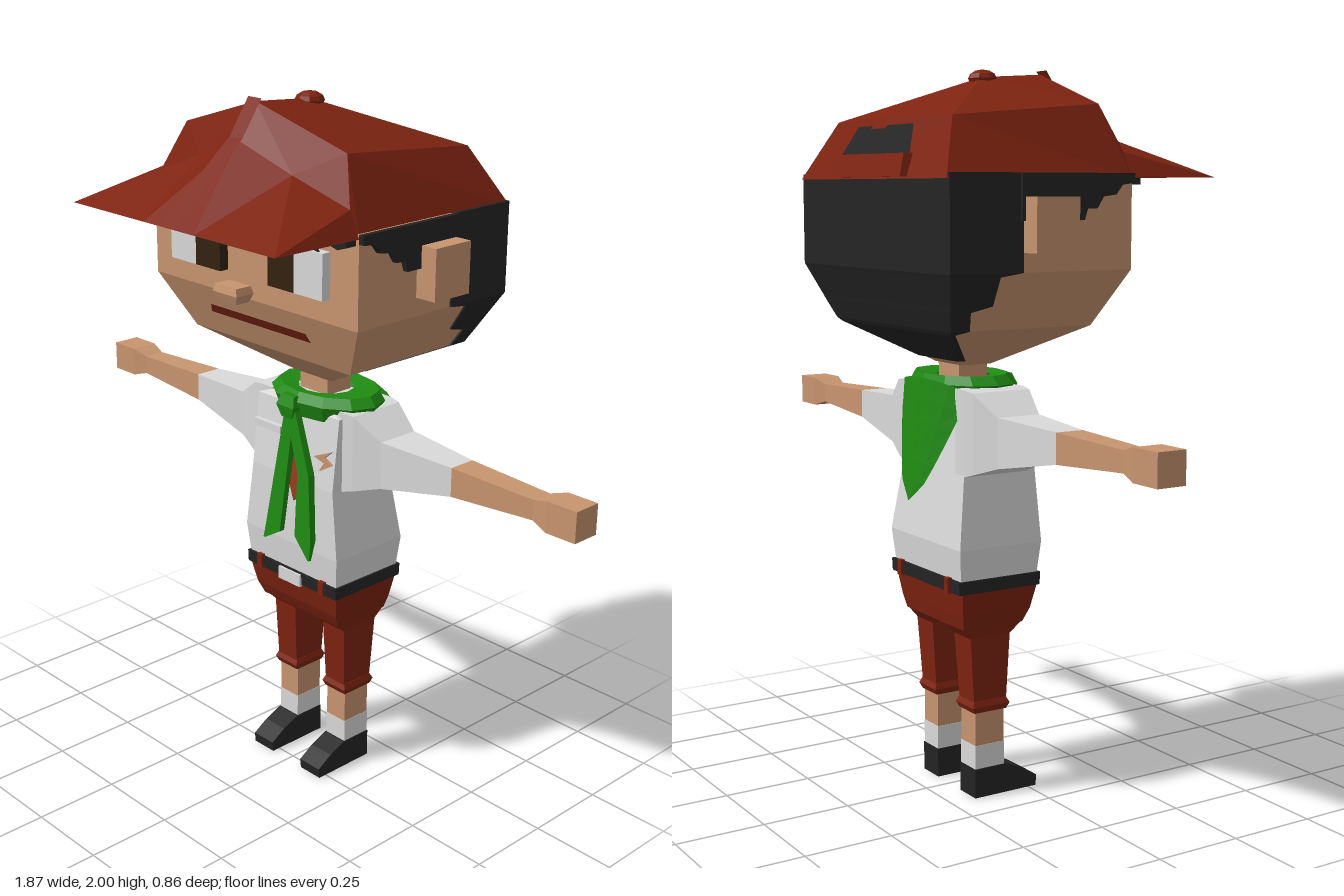
import * as THREE from 'three';

const mat = (name, color, extra = {}) => new THREE.MeshStandardMaterial({ name, color, flatShading: true, ...extra });

// rectangular ring at height y: left, right, back, front
const R = (y, x0, x1, zb, zf) => [[x0, y, zf], [x1, y, zf], [x1, y, zb], [x0, y, zb]];
// ring symmetric in x
const S = (y, w, zb, zf) => R(y, -w, w, zb, zf);
// ring of an ellipse
const E = (y, cx, cz, rx, rz, n = 12) => Array.from({ length: n }, (_, i) => {
  const a = (i / n) * Math.PI * 2;
  return [cx + Math.cos(a) * rx, y, cz - Math.sin(a) * rz];
});

// flat polygons, each a list of corner points, counter-clockwise from outside
function facets(polys) {
  const p = [];
  for (const f of polys) for (let i = 1; i < f.length - 1; i++) p.push(...f[0], ...f[i], ...f[i + 1]);
  const g = new THREE.BufferGeometry();
  g.setAttribute('position', new THREE.Float32BufferAttribute(p, 3));
  g.computeVertexNormals();
  return g;
}

// skin through rings listed from bottom to top
function loft(rings, caps = true) {
  const f = [];
  for (let k = 0; k < rings.length - 1; k++) {
    const a = rings[k], b = rings[k + 1], n = a.length;
    for (let i = 0; i < n; i++) f.push([a[i], a[(i + 1) % n], b[(i + 1) % n], b[i]]);
  }
  if (caps) f.push([...rings[0]].reverse(), rings[rings.length - 1]);
  return facets(f);
}

// extruded outline
function plate(pts, depth) {
  const s = new THREE.Shape(pts.map(([x, y]) => new THREE.Vector2(x, y)));
  return new THREE.ExtrudeGeometry(s, { depth, bevelEnabled: false });
}

const box = (x0, x1, y0, y1, z0, z1) => new THREE.BoxGeometry(x1 - x0, y1 - y0, z1 - z0)
  .translate((x0 + x1) / 2, (y0 + y1) / 2, (z0 + z1) / 2);

export function createModel() {
  const root = new THREE.Group();
  const skin = mat('skin', 0xc8956f), white = mat('white', 0xdadada), black = mat('black', 0x242424);
  const red = mat('red', 0x7e2310, { side: THREE.DoubleSide });
  const green = mat('green', 0x1f8a12, { side: THREE.DoubleSide });
  const brown = mat('brown', 0x32230f), lip = mat('lip', 0x6e200f), tie = mat('tieRed', 0xa03a22);
  const add = (name, geo, m, parent = root) => {
    const mesh = new THREE.Mesh(geo, m);
    mesh.name = name;
    parent.add(mesh);
    return mesh;
  };

  // head and neck
  add('head', loft([S(1.205, 0.07, -0.17, -0.08), S(1.32, 0.31, -0.345, 0.085), S(1.47, 0.4, -0.4, 0.15),
    S(1.72, 0.4, -0.4, 0.15)]), skin);
  add('neck', box(-0.055, 0.055, 1.1, 1.24, -0.17, -0.08), skin);
  add('nose', loft([S(1.48, 0.035, 0.19, 0.235), S(1.505, 0.048, 0.185, 0.245), S(1.525, 0.042, 0.19, 0.24)]), skin);
  add('mouth', facets([[[-0.2, 1.39, 0.121], [0.2, 1.39, 0.121], [0.19, 1.415, 0.132], [-0.19, 1.415, 0.132]]]), lip);

  // back hair with a stepped front edge
  add('backHair', loft([S(1.22, 0.105, -0.205, -0.18), S(1.31, 0.295, -0.345, -0.325), S(1.32, 0.316, -0.351, -0.295),
    S(1.37, 0.346, -0.37, -0.31), S(1.385, 0.355, -0.375, -0.25), S(1.46, 0.4, -0.402, -0.255),
    S(1.47, 0.406, -0.406, -0.19), S(1.72, 0.406, -0.406, -0.19)]), black);
  const temple = [[-0.2, 1.72], [-0.2, 1.6], [-0.04, 1.6], [-0.01, 1.6], [0, 1.63], [0.03, 1.63], [0.05, 1.66],
    [0.09, 1.665], [0.11, 1.69], [0.15, 1.695], [0.15, 1.72]];
  for (const x of [0.415, -0.4]) {
    add('templeHair', plate(temple, 0.015).rotateY(-Math.PI / 2).translate(x, 0, 0), black);
  }
  add('fringe', plate([[-0.39, 1.72], [-0.39, 1.69], [-0.34, 1.702], [-0.31, 1.675], [-0.27, 1.702], [-0.1, 1.702],
    [-0.02, 1.685], [0.01, 1.702], [0.1, 1.69], [0.14, 1.702], [0.28, 1.7], [0.36, 1.68], [0.39, 1.69], [0.39, 1.72]], 0.035)
    .translate(0, 0, 0.15), black);

  for (const s of [-1, 1]) {
    const span = (a, b) => (s > 0 ? [a, b] : [-b, -a]);
    // ears, eyes, brows
    add('ear', box(...span(0.39, 0.465), 1.52, 1.66, -0.19, -0.06), skin);
    add('eyeWhite', box(...span(0.195, 0.3), 1.535, 1.658, 0.14, 0.178), white);
    add('iris', box(...span(0.095, 0.195), 1.535, 1.658, 0.14, 0.178), brown);
    const brow = [[0.11, 1.665], [0.2, 1.675], [0.29, 1.662], [0.25, 1.69], [0.18, 1.695], [0.11, 1.685]];
    add('eyebrow', plate(brow.map(([x, y]) => [x * s, y]), 0.008).translate(0, 0, 0.176), black);

    // arm built upright, then laid out sideways
    const arm = new THREE.Group();
    arm.name = s > 0 ? 'leftArm' : 'rightArm';
    arm.position.z = -0.127;
    if (s < 0) arm.rotation.y = Math.PI;
    const A = (x, y0, y1, d) => R(x, -y1, -y0, -d, d);
    const lay = (rings) => loft(rings).rotateZ(Math.PI / 2).scale(-1, -1, 1);
    add('sleeve', lay([A(0.12, 0.91, 1.15, 0.095), A(0.165, 0.915, 1.15, 0.095), A(0.2, 0.925, 1.145, 0.09),
      A(0.285, 0.952, 1.088, 0.065), A(0.52, 0.995, 1.077, 0.041)]), white, arm);
    add('forearm', lay([A(0.52, 0.995, 1.077, 0.041), A(0.79, 1.012, 1.068, 0.032), A(0.84, 0.997, 1.083, 0.042),
      A(0.933, 0.997, 1.083, 0.042)]), skin, arm);
    root.add(arm);

    // leg
    const leg = new THREE.Group();
    leg.name = s > 0 ? 'leftLeg' : 'rightLeg';
    const L = (y, a, b, zb, zf) => R(y, ...span(a, b), zb, zf);
    add('shortsLeg', loft([L(0.255, 0.065, 0.142, -0.177, -0.075), L(0.46, 0.06, 0.147, -0.192, -0.065),
      L(0.495, 0.032, 0.156, -0.22, -0.03)]), red, leg);
    add('cuff', loft([L(0.245, 0.063, 0.144, -0.178, -0.075), L(0.262, 0.057, 0.15, -0.186, -0.067),
      L(0.278, 0.063, 0.144, -0.178, -0.075)]), red, leg);
    add('shin', box(...span(0.065, 0.14), 0.15, 0.25, -0.173, -0.08), skin, leg);
    add('sock', box(...span(0.064, 0.141), 0.075, 0.15, -0.174, -0.079), white, leg);
    add('shoe', loft([L(0, 0.062, 0.143, -0.175, 0.025), L(0.03, 0.062, 0.143, -0.175, 0.028),
      L(0.06, 0.062, 0.143, -0.175, -0.02), L(0.083, 0.062, 0.143, -0.175, -0.075)]), black, leg);
    root.add(leg);
  }

  // shirt, belt, shorts
  add('shirt', loft([S(0.61, 0.178, -0.24, 0), S(0.72, 0.19, -0.25, 0.01), S(0.92, 0.165, -0.222, 0.004),
    S(1.13, 0.165, -0.19, -0.02), S(1.16, 0.08, -0.18, -0.04)]), white);
  add('pocketFlap', box(-0.16, -0.05, 1.037, 1.058, -0.02, 0.004), white);
  add('badge', plate([[0.09, 1.01], [0.16, 1.04], [0.13, 1.015], [0.16, 1.0], [0.11, 0.97], [0.13, 1.0]], 0.009)
    .translate(0, 0, -0.004), skin);
  add('necktie', plate([[0.005, 1.12], [0, 0.9], [0.015, 0.855], [0.038, 0.88], [0.03, 1.12]], 0.009)
    .translate(0, 0, 0.004), tie);
  add('belt', loft([S(0.597, 0.186, -0.25, 0.008), S(0.633, 0.186, -0.252, 0.01)]), black);
  add('buckle', box(-0.045, 0.045, 0.592, 0.63, 0.005, 0.016), white);
  for (const x of [-0.13, 0.13]) {
    for (const z of [0.008, -0.253]) add('beltLoop', box(x - 0.01, x + 0.01, 0.595, 0.638, z - 0.007, z + 0.007), red);
  }
  add('shortsHips', loft([S(0.49, 0.156, -0.22, -0.03), S(0.53, 0.168, -0.228, -0.012), S(0.6, 0.182, -0.238, 0.002)]), red);

  // scarf: collar, back flap, knot and tails
  add('scarfCollar', loft([E(1.11, 0.02, -0.115, 0.17, 0.115), E(1.155, 0.02, -0.115, 0.188, 0.13),
    E(1.18, 0.02, -0.12, 0.165, 0.115), E(1.172, 0.01, -0.12, 0.085, 0.075)], false), green);
  const flap = [], N = 6;
  const fp = (i, j) => {
    const t = j / N, u = (i / N) * 2 - 1, w = 0.185 * Math.sqrt(1 - t) * (1 - 0.25 * t);
    return [0.02 + u * w, 1.17 - 0.34 * t - 0.03 * u * u * (1 - t), -0.25 - 0.04 * t + 0.05 * u * u * (1 - t)];
  };
  for (let j = 0; j < N; j++) for (let i = 0; i < N; i++) flap.push([fp(i, j), fp(i, j + 1), fp(i + 1, j + 1), fp(i + 1, j)]);
  add('scarfFlap', facets(flap), green);
  add('scarfKnot', loft([S(1.105, 0.02, -0.02, 0.025), S(1.14, 0.035, -0.02, 0.032), S(1.17, 0.025, -0.03, 0.02)]), green);
  add('scarfTailRight', loft([R(0.73, -0.065, -0.058, 0.048, 0.056), R(0.765, -0.06, 0, 0.035, 0.052),
    R(1.13, -0.012, 0.025, 0, 0.02)]), green);
  add('scarfTailLeft', loft([R(0.715, 0.12, 0.126, 0.048, 0.056), R(0.77, 0.06, 0.125, 0.03, 0.05),
    R(0.96, 0.055, 0.1, 0.012, 0.035), R(1.13, -0.01, 0.03, 0, 0.02)]), green);

  // cap: crown and brim mirrored across the middle
  const cap = new THREE.Group();
  cap.name = 'cap';
  const peak = [0, 1.993, 0.13], top = [0, 1.98, -0.06], backMid = [0, 1.868, -0.352], root0 = [0, 1.9, 0.19];
  for (const s of [1, -1]) {
    const p = (x, y, z) => [x * s, y, z];
    const rimF = p(0.4, 1.708, 0.15), rimB = p(0.402, 1.705, -0.413), shF = p(0.31, 1.9, 0.105), shB = p(0.31, 1.862, -0.34);
    const brimIn = p(0.18, 1.835, 0.17), brimOut = p(0.365, 1.775, 0.148), tip = p(0.4, 1.71, 0.427), mid = p(0.1, 1.71, 0.427);
    const polys = [[top, peak, shF], [top, shF, shB], [top, shB, backMid], [shF, rimF, rimB, shB],
      [backMid, shB, rimB, [0, 1.705, -0.413]], [peak, root0, brimIn], [peak, brimIn, shF], [shF, brimIn, brimOut],
      [shF, brimOut, rimF], [root0, [0, 1.71, 0.427], mid], [root0, mid, brimIn], [brimIn, mid, tip],
      [brimIn, tip, brimOut], [brimOut, tip, rimF]];
    add('capHalf', facets(s > 0 ? polys : polys.map((f) => [...f].reverse())), red, cap);
  }
  const seam = [[2.003, 0.133], [1.908, 0.198], [1.715, 0.43]];
  add('capSeam', facets([0, 1].map((i) => {
    const [[y0, z0], [y1, z1]] = [seam[i], seam[i + 1]];
    return [[-0.025, y0, z0], [-0.025, y1, z1], [0.025, y1, z1], [0.025, y0, z0]];
  })), red, cap);
  add('capButton', new THREE.SphereGeometry(0.04, 8, 6).scale(1, 0.6, 1).translate(0, 1.976, -0.06), red, cap);
  add('capOpening', facets([[[0.15, 1.845, -0.36], [0.19, 1.765, -0.396], [-0.19, 1.765, -0.396], [-0.15, 1.845, -0.36]]]), black, cap);
  add('capStrap', loft([S(1.71, 0.2, -0.43, -0.4), S(1.77, 0.185, -0.41, -0.37)]), red, cap);
  root.add(cap);
  return root;
}
